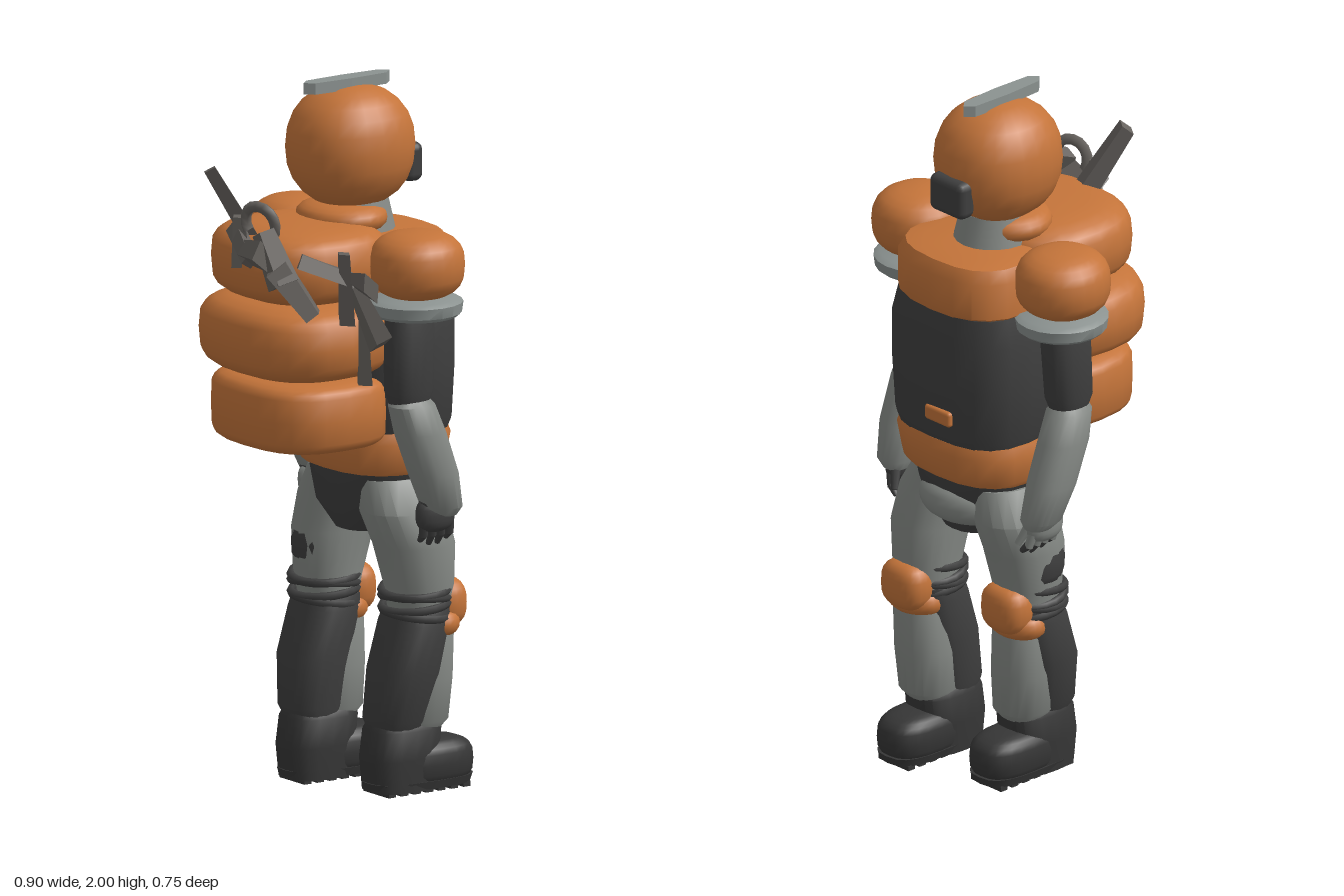
import * as THREE from 'three';
import { toCreasedNormals } from 'three/addons/utils/BufferGeometryUtils.js';
import { RoundedBoxGeometry } from 'three/addons/geometries/RoundedBoxGeometry.js';

const mat = (name, color) => {
  const m = new THREE.MeshStandardMaterial({ color });
  m.name = name;
  return m;
};

// Closed skin through rings [y, cx, cz, rx, rz]; n squares off the outline
function loft(rings, n = 2, seg = 20, crease = 0.7) {
  const first = rings[0], last = rings[rings.length - 1];
  const all = [[first[0], first[1], first[2], 0, 0], ...rings, [last[0], last[1], last[2], 0, 0]];
  const pos = [], idx = [];
  const pw = (v) => Math.sign(v) * Math.pow(Math.abs(v), 2 / n);
  for (const [y, cx, cz, rx, rz] of all) {
    for (let i = 0; i <= seg; i++) {
      const a = ((i % seg) / seg) * Math.PI * 2;
      pos.push(cx + rx * pw(Math.cos(a)), y, cz + rz * pw(Math.sin(a)));
    }
  }
  for (let j = 0; j < all.length - 1; j++) {
    for (let i = 0; i < seg; i++) {
      const a = j * (seg + 1) + i, b = a + seg + 1;
      if (all[j][3] > 0) idx.push(a, b, a + 1);
      if (all[j + 1][3] > 0) idx.push(b, b + 1, a + 1);
    }
  }
  const g = new THREE.BufferGeometry();
  g.setAttribute('position', new THREE.Float32BufferAttribute(pos, 3));
  g.setIndex(idx);
  return toCreasedNormals(g, crease);
}

// Padded blob: a loft with a rounded, squared-off side profile
function puff(cx, cy, cz, rx, ry, rz, side = 2, plan = 2, steps = 12) {
  const rings = [];
  for (let i = 0; i <= steps; i++) {
    const a = (-0.5 + (i + 0.15) / (steps + 0.3)) * Math.PI;
    const c = Math.pow(Math.max(Math.cos(a), 0), 2 / side);
    const y = Math.sign(Math.sin(a)) * Math.pow(Math.abs(Math.sin(a)), 2 / side);
    rings.push([cy + ry * y, cx, cz, rx * c, rz * c]);
  }
  return loft(rings, plan, 24, 1.0);
}

// Tapered rod between two points
function rod(a, b, r0, r1, sides = 8, flat = 1) {
  const p = new THREE.Vector3(...a), q = new THREE.Vector3(...b);
  const d = q.clone().sub(p);
  const g = new THREE.CylinderGeometry(r1, r0, d.length(), sides);
  g.scale(1, 1, flat);
  g.applyQuaternion(new THREE.Quaternion().setFromUnitVectors(new THREE.Vector3(0, 1, 0), d.normalize()));
  g.translate((p.x + q.x) / 2, (p.y + q.y) / 2, (p.z + q.z) / 2);
  return sides < 6 ? toCreasedNormals(g, 0.3) : g;
}

export function createModel() {
  const orange = mat('orange padding', 0xc4743a);
  const dark = mat('dark fabric', 0x3f3f3f);
  const black = mat('boot rubber', 0x363636);
  const grey = mat('grey suit', 0x868a86);
  const metal = mat('pale metal', 0x8b9290);
  const scrap = mat('scrap metal', 0x66625e);

  const root = new THREE.Group();
  root.name = 'suitedFigure';
  const add = (name, geo, m, parent = root) => {
    const mesh = new THREE.Mesh(geo, m);
    mesh.name = name;
    parent.add(mesh);
    return mesh;
  };
  const group = (name) => {
    const g = new THREE.Group();
    g.name = name;
    root.add(g);
    return g;
  };
  const CX = -0.04;

  // Helmet with crest and face plate
  add('helmet', puff(-0.055, 1.807, -0.083, 0.167, 0.173, 0.179, 2.25, 2.2), orange);
  const crestShape = new THREE.Shape([[-0.022, -0.12], [0, -0.145], [0.022, -0.12], [0.027, 0], [0.022, 0.12], [0, 0.145], [-0.022, 0.12], [-0.027, 0]]
    .map(([x, z]) => new THREE.Vector2(x, z)));
  const crest = add('crest', new THREE.ExtrudeGeometry(crestShape, { depth: 0.032, bevelEnabled: false }), metal);
  crest.rotation.x = -Math.PI / 2;
  crest.position.set(-0.055, 1.968, -0.07);
  add('facePlate', new RoundedBoxGeometry(0.135, 0.11, 0.06, 2, 0.022), dark).position.set(-0.053, 1.745, -0.257);
  add('neck', loft([[1.52, -0.05, -0.1, 0.12, 0.12], [1.66, -0.05, -0.09, 0.09, 0.1]]), grey);
  add('neckScarf', puff(-0.05, 1.615, -0.05, 0.14, 0.045, 0.12, 2.5), orange);

  // Torso
  add('chest', loft([[1.0, CX, -0.16, 0.205, 0.155], [1.05, CX, -0.16, 0.225, 0.172], [1.2, CX, -0.16, 0.235, 0.178],
    [1.34, CX, -0.16, 0.235, 0.178], [1.42, CX, -0.16, 0.215, 0.165]], 2.7), dark);
  add('collar', loft([[1.4, CX, -0.16, 0.19, 0.155], [1.425, CX, -0.16, 0.215, 0.172], [1.53, CX, -0.16, 0.215, 0.174],
    [1.565, CX, -0.16, 0.195, 0.155], [1.575, CX, -0.15, 0.15, 0.12]], 2.6), orange);
  add('belt', loft([[0.91, -0.047, -0.15, 0.213, 0.163], [0.925, -0.047, -0.15, 0.222, 0.172],
    [1.0, -0.045, -0.15, 0.232, 0.186], [1.03, -0.045, -0.15, 0.222, 0.176]], 2.5), orange);
  add('chestPouch', new RoundedBoxGeometry(0.1, 0.045, 0.03, 2, 0.01), orange).position.set(-0.08, 1.11, -0.328);
  add('pelvis', loft([[0.73, -0.05, -0.15, 0.09, 0.1], [0.8, -0.05, -0.15, 0.165, 0.135],
    [0.92, -0.05, -0.15, 0.2, 0.15]], 2.3), dark);
  add('frontHips', puff(-0.05, 0.82, -0.19, 0.15, 0.07, 0.125, 2.4), grey);

  // Three stacked pillows of the backpack
  const pack = group('backpack');
  add('lowerPack', puff(-0.035, 1.1, 0.105, 0.248, 0.1, 0.207, 6, 2.7), orange, pack);
  add('middlePack', puff(-0.034, 1.31, 0.12, 0.281, 0.112, 0.227, 3.6, 2.5), orange, pack);
  add('upperPack', puff(-0.04, 1.515, 0.1, 0.243, 0.107, 0.22, 3.6, 2.5), orange, pack);

  // Arms
  for (const s of [-1, 1]) {
    const arm = group(s > 0 ? 'leftArm' : 'rightArm');
    const X = (d) => -0.04 + s * d;
    add('shoulderPad', puff(X(0.285), 1.522, -0.095, 0.13, 0.095, 0.132, 2.7, 2.1), orange, arm);
    add('shoulderRing', loft([[1.38, X(0.28), -0.095, 0.115, 0.115], [1.39, X(0.28), -0.095, 0.126, 0.128],
      [1.42, X(0.28), -0.095, 0.13, 0.132], [1.43, X(0.28), -0.095, 0.115, 0.115]]), metal, arm);
    add('upperArm', loft([[1.13, X(0.282), -0.07, 0.045, 0.055], [1.17, X(0.282), -0.07, 0.056, 0.07],
      [1.34, X(0.275), -0.075, 0.058, 0.074], [1.41, X(0.27), -0.08, 0.05, 0.065]], 2.3), dark, arm);
    add('forearm', loft([[0.805, X(0.28), -0.185, 0.035, 0.04], [0.83, X(0.285), -0.178, 0.052, 0.058],
      [0.93, X(0.292), -0.145, 0.063, 0.07], [1.05, X(0.293), -0.1, 0.063, 0.073],
      [1.13, X(0.288), -0.075, 0.055, 0.067], [1.165, X(0.285), -0.07, 0.03, 0.04]], 2.3), grey, arm);
    // Hand with curled fingers
    const skin = s > 0 ? dark : grey;
    add('palm', puff(X(0.28), 0.81, -0.16, 0.036, 0.05, 0.062, 2.6), skin, arm);
    add('cuff', puff(X(0.283), 0.845, -0.165, 0.045, 0.025, 0.055), dark, arm);
    for (let i = 0; i < 4; i++) {
      const z = -0.118 - i * 0.029, low = 0.715 + Math.abs(i - 1.5) * 0.012;
      add('finger', rod([X(0.285), 0.8, z], [X(0.272), 0.75, z - 0.008], 0.014, 0.013), skin, arm);
      add('fingertip', rod([X(0.272), 0.755, z - 0.008], [X(0.25), low, z - 0.012], 0.013, 0.008), dark, arm);
    }
    add('thumb', rod([X(0.27), 0.82, -0.2], [X(0.245), 0.755, -0.228], 0.017, 0.01), skin, arm);
  }

  // Legs; the left one stands a step forward
  for (const s of [-1, 1]) {
    const leg = group(s > 0 ? 'leftLeg' : 'rightLeg');
    const X = (d) => -0.053 + s * d;
    const k = s > 0 ? -0.21 : -0.12;
    add('thigh', loft([[0.47, X(0.15), k, 0.08, 0.08], [0.58, X(0.152), k + 0.005, 0.093, 0.095],
      [0.7, X(0.155), k * 0.6 - 0.06, 0.103, 0.115], [0.8, X(0.145), -0.155, 0.104, 0.125],
      [0.89, X(0.11), -0.15, 0.085, 0.115]], 2.2), grey, leg);
    add('calf', loft([[0.18, X(0.135), k + 0.075, 0.072, 0.07], [0.21, X(0.138), k + 0.075, 0.082, 0.085],
      [0.35, X(0.15), k + 0.055, 0.1, 0.092], [0.48, X(0.15), k + 0.02, 0.1, 0.088],
      [0.52, X(0.15), k + 0.01, 0.09, 0.085]], 2.6), dark, leg);
    add('shinGuard', loft([[0.17, X(0.138), k + 0.005, 0.06, 0.06], [0.2, X(0.14), k, 0.078, 0.082],
      [0.32, X(0.145), k - 0.002, 0.087, 0.088], [0.44, X(0.15), k - 0.01, 0.085, 0.08],
      [0.49, X(0.15), k - 0.01, 0.07, 0.065]], 2.3), grey, leg);
    add('kneePad', puff(X(0.152), 0.525, k - 0.07, 0.078, 0.07, 0.058, 2.8, 2.6), orange, leg);
    add('kneeFlap', puff(X(0.155), 0.475, k - 0.035, 0.094, 0.045, 0.07, 2.4), orange, leg);
    // Knee wraps
    for (let i = 0; i < 4; i++) {
      const wrap = add('kneeWrap', new THREE.TorusGeometry(0.093, 0.012, 6, 20), dark, leg);
      wrap.rotation.set(Math.PI / 2 + 0.1 * (i % 2 ? 1 : -1), 0.08 * (i % 3 - 1), 0);
      wrap.position.set(X(0.152), 0.505 + i * 0.022, k + 0.018);
    }
    // Boot with ridged sole
    add('bootShaft', loft([[0.01, X(0.135), k + 0.06, 0.08, 0.1], [0.1, X(0.135), k + 0.06, 0.083, 0.11],
      [0.18, X(0.135), k + 0.05, 0.08, 0.11], [0.2, X(0.135), k + 0.05, 0.07, 0.1]], 2.8), black, leg);
    add('bootToe', puff(X(0.137), 0.077, k - 0.03, 0.084, 0.069, 0.138, 3.2, 2.7), black, leg);
    add('sole', loft([[0.012, X(0.137), k, 0.076, 0.16], [0.035, X(0.137), k, 0.082, 0.167]], 3), black, leg);
    for (let i = 0; i < 7; i++) {
      add('tread', new THREE.BoxGeometry(0.12, 0.014, 0.024), black, leg).position.set(X(0.137), 0.007, k - 0.126 + i * 0.042);
    }
  }
  // Dark patch behind the right thigh
  add('thighPatch', puff(-0.21, 0.66, -0.115, 0.1, 0.085, 0.1, 3), dark);

  // Jagged scrap strapped to the backpack: [from, to, start radius, end radius, flatness]
  const scrapGroup = group('scrapBundle');
  const pieces = [
    [[-0.02, 1.54, 0.24], [-0.12, 1.78, 0.345], 0.045, 0.032, 0.6],
    [[-0.06, 1.62, 0.3], [0.05, 1.55, 0.33], 0.035, 0.03, 0.8],
    [[0.02, 1.57, 0.32], [0.13, 1.58, 0.34], 0.035, 0.045, 0.8],
    [[-0.03, 1.52, 0.3], [-0.03, 1.66, 0.31], 0.045, 0.025, 0.8],
    [[0.1, 1.64, 0.32], [0.17, 1.5, 0.3], 0.035, 0.05, 0.7],
    [[0.15, 1.55, 0.31], [0.21, 1.41, 0.23], 0.055, 0.035, 0.7],
    [[0.16, 1.56, 0.24], [0.24, 1.5, 0.11], 0.035, 0.03, 0.7],
    [[0.23, 1.58, 0.14], [0.23, 1.38, 0.13], 0.028, 0.04, 0.6],
    [[0.22, 1.5, 0.11], [0.43, 1.525, 0.19], 0.022, 0.046, 0.5],
    [[0.23, 1.51, 0.12], [0.35, 1.34, 0.1], 0.022, 0.045, 0.4],
    [[0.25, 1.4, 0.09], [0.26, 1.21, 0.09], 0.022, 0.036, 0.6],
  ];
  for (const [a, b, r0, r1, flat] of pieces) add('scrapShard', rod(a, b, r0, r1, 4, flat), scrap, scrapGroup);
  const hoop = add('scrapHoop', new THREE.TorusGeometry(0.052, 0.016, 5, 10, Math.PI * 1.3), scrap, scrapGroup);
  hoop.position.set(0.045, 1.65, 0.29);
  hoop.rotation.set(0.2, 0.3, -0.5);
  return root;
}
